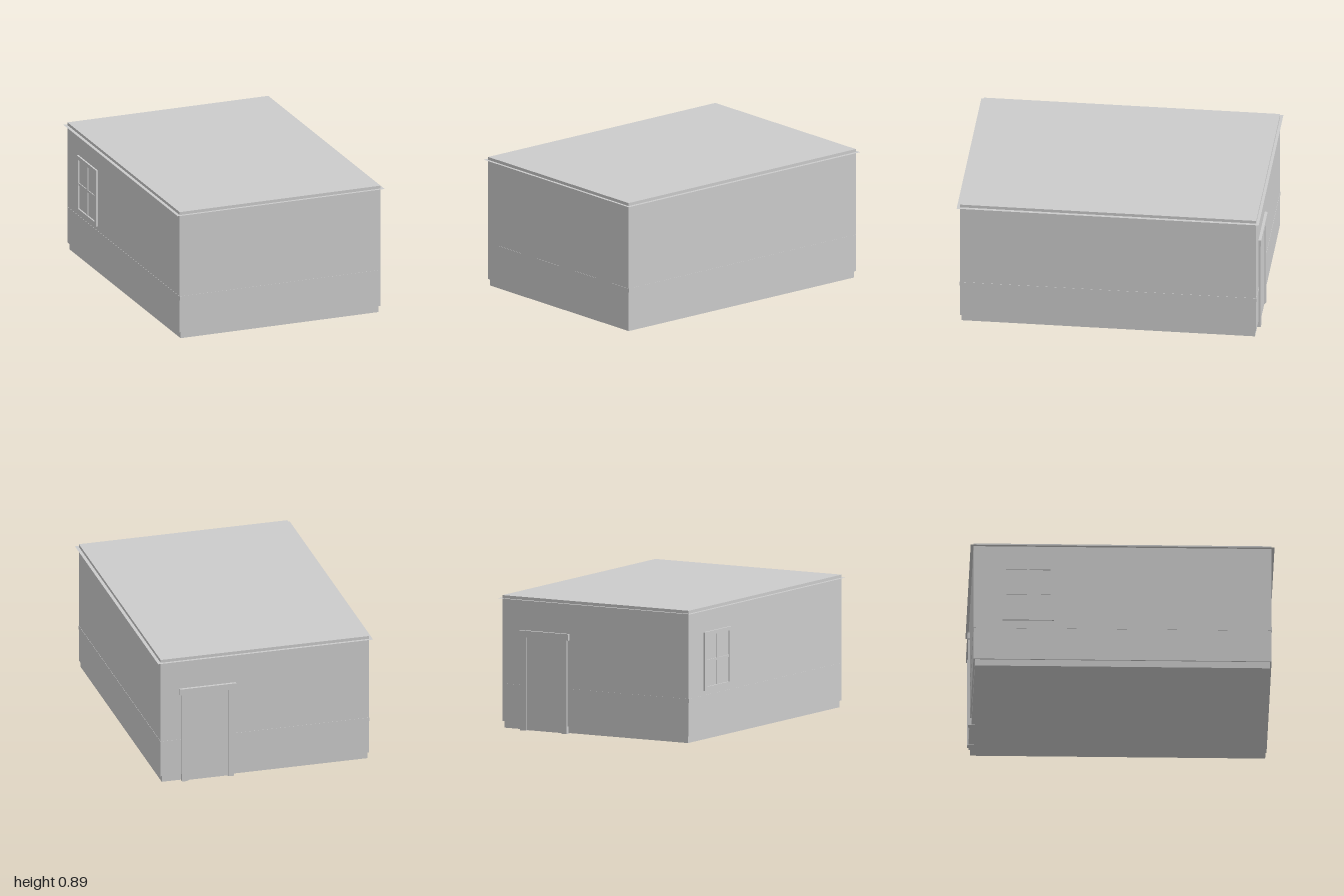
import * as THREE from 'three';

const HX = 0.713, HZ = 0.981; // half sizes of the walls

export function createModel() {
  const model = new THREE.Group();
  const mat = new THREE.MeshStandardMaterial({ color: 0xcccccc, flatShading: true, side: THREE.DoubleSide });

  // box given by its min and max on each axis
  const box = (parent, name, x0, x1, y0, y1, z0, z1) => {
    const m = new THREE.Mesh(new THREE.BoxGeometry(x1 - x0, y1 - y0, z1 - z0), mat);
    m.name = name;
    m.position.set((x0 + x1) / 2, (y0 + y1) / 2, (z0 + z1) / 2);
    parent.add(m);
    return m;
  };
  const group = (name) => {
    const g = new THREE.Group();
    g.name = name;
    model.add(g);
    return g;
  };

  // room shell and the slightly inset plinth below it
  box(model, 'walls', -HX, HX, 0.05, 0.886, -HZ, HZ);
  box(model, 'plinth', -0.703, 0.703, 0.005, 0.05, -0.972, 0.972);

  // almost flush rail around the walls
  const rail = group('wallRail');
  for (const s of [-1, 1]) {
    const a = s * HX, b = s * HZ, t = s * 0.0015;
    box(rail, 'sideRail', Math.min(a, a + t), Math.max(a, a + t), 0.273, 0.3, -HZ, HZ);
    box(rail, 'endRail', -HX, HX, 0.273, 0.3, Math.min(b, b + t), Math.max(b, b + t));
  }

  // thin flat cornice sheet sticking out just under the roof
  const rect = (C, x, z) => new C([[-x, -z], [x, -z], [x, z], [-x, z]].map((p) => new THREE.Vector2(...p)));
  const ring = rect(THREE.Shape, 0.735, 1);
  ring.holes.push(rect(THREE.Path, 0.69, 0.958));
  const cornice = new THREE.Mesh(new THREE.ShapeGeometry(ring), mat);
  cornice.name = 'cornice';
  cornice.rotation.x = -Math.PI / 2;
  cornice.position.y = 0.866;
  model.add(cornice);

  // door on the back wall
  const door = group('door');
  box(door, 'doorPanel', 0.24, 0.54, 0.003, 0.625, -0.985, -0.95);
  for (const s of [-1, 1]) {
    const c = 0.392 + s * 0.16;
    box(door, 'doorCasing', c - 0.018, c + 0.018, 0, 0.622, -0.995, -0.95);
    const e = 0.392 + s * 0.139;
    box(door, 'doorStop', e - 0.005, e + 0.005, 0, 0.622, -0.99, -0.95);
  }
  box(door, 'doorHeader', 0.2, 0.585, 0.622, 0.665, -1, -0.95);

  // four-pane window on the right wall
  const win = group('window');
  const z0 = -0.79, z1 = -0.45, y0 = 0.33, y1 = 0.72, f = 0.025;
  const zm = (z0 + z1) / 2, ym = (y0 + y1) / 2;
  box(win, 'glass', -0.715, -0.69, y0, y1, z0, z1);
  box(win, 'windowSill', -0.725, -0.69, y0, y0 + f, z0, z1);
  box(win, 'windowHead', -0.725, -0.69, y1 - f, y1, z0, z1);
  box(win, 'windowJamb', -0.725, -0.69, y0 + f, y1 - f, z0, z0 + f);
  box(win, 'windowJamb', -0.725, -0.69, y0 + f, y1 - f, z1 - f, z1);
  box(win, 'verticalBar', -0.721, -0.69, y0 + f, y1 - f, zm - 0.008, zm + 0.008);
  box(win, 'horizontalBar', -0.721, -0.69, ym - 0.008, ym + 0.008, z0 + f, z1 - f);

  return model;
}
